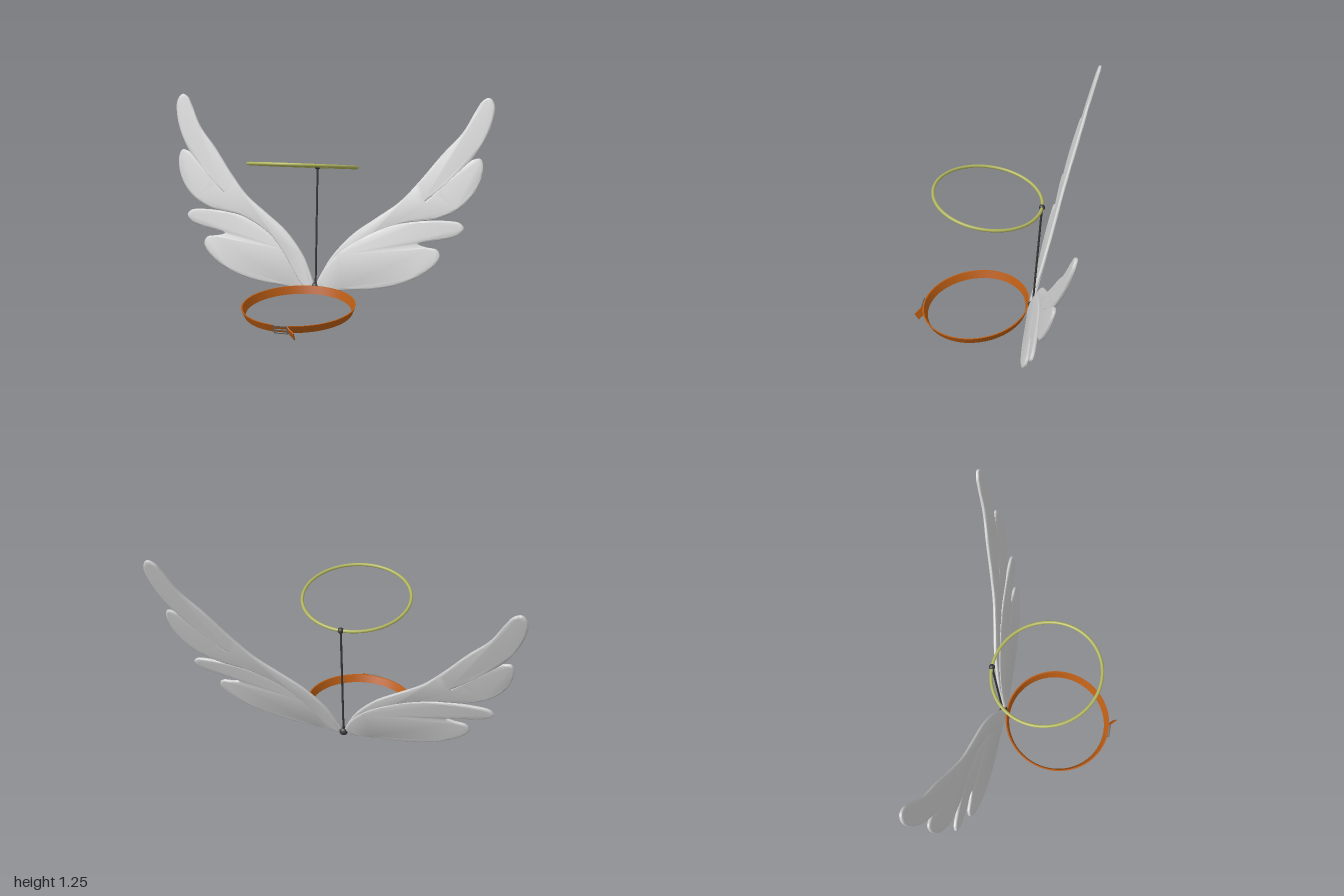
import * as THREE from 'three';
import { toCreasedNormals } from 'three/addons/utils/BufferGeometryUtils.js';

const mat = (color) => new THREE.MeshStandardMaterial({ color });

// Wing outlines as seen from the front (x, y), from root to root
const UPPER = [
  [0.01, 0.16], [0.08, 0.3], [0.205, 0.445], [0.34, 0.545], [0.47, 0.64], [0.58, 0.76], [0.71, 0.925],
  [0.82, 1.05], [0.89, 1.18], [0.925, 1.235], [0.965, 1.252], [0.997, 1.21], [0.98, 1.08], [0.9, 0.92],
  [0.77, 0.775], [0.68, 0.69], [0.62, 0.645], [0.69, 0.715], [0.82, 0.845], [0.89, 0.9], [0.935, 0.905],
  [0.952, 0.855], [0.925, 0.74], [0.84, 0.63], [0.71, 0.56], [0.62, 0.542], [0.5, 0.52], [0.31, 0.42],
  [0.205, 0.305], [0.125, 0.19], [0.07, 0.125], [0.01, 0.105],
];
const LOWER = [
  [0.01, 0.16], [0.05, 0.24], [0.15, 0.35], [0.3, 0.445], [0.45, 0.51], [0.6, 0.54], [0.75, 0.55],
  [0.84, 0.54], [0.863, 0.51], [0.83, 0.472], [0.75, 0.445], [0.66, 0.427], [0.605, 0.41], [0.65, 0.396],
  [0.715, 0.385], [0.735, 0.35], [0.71, 0.3], [0.62, 0.23], [0.5, 0.175], [0.35, 0.14], [0.2, 0.125],
  [0.01, 0.105],
];
const ROOT_Y = 0.105;
const LEAN = Math.atan(0.26);

// Thin feather plate with rounded edges, measured from the wing root
function featherPlate(outline, offset, name) {
  const pts = outline.map(([x, y]) => new THREE.Vector3(x, (y - ROOT_Y) / Math.cos(LEAN), 0));
  const curve = new THREE.CatmullRomCurve3(pts, false, 'centripetal');
  const shape = new THREE.Shape(curve.getPoints((pts.length - 1) * 5).map((p) => new THREE.Vector2(p.x, p.y)));
  const geo = new THREE.ExtrudeGeometry(shape, {
    depth: 0.002, bevelEnabled: true, bevelThickness: 0.009, bevelSize: 0.012, bevelOffset: -0.012, bevelSegments: 4,
  });
  geo.translate(0, 0, offset - 0.001);
  const mesh = new THREE.Mesh(toCreasedNormals(geo, 0.8), mat(0xcccccc));
  mesh.name = name;
  return mesh;
}

function createWing(name) {
  const wing = new THREE.Group();
  wing.name = name;
  wing.add(featherPlate(UPPER, -0.003, 'upperFeathers'), featherPlate(LOWER, 0.003, 'lowerFeathers'));
  return wing;
}

export function createModel() {
  const model = new THREE.Group();
  const add = (geo, color, name, x, y, z, parent = model) => {
    const mesh = new THREE.Mesh(geo, mat(color));
    mesh.name = name;
    mesh.position.set(x, y, z);
    parent.add(mesh);
    return mesh;
  };

  // Wings: the right one is the left one turned half round
  const wings = new THREE.Group();
  wings.name = 'wings';
  const rightWing = createWing('rightWing');
  rightWing.rotation.y = Math.PI;
  wings.add(createWing('leftWing'), rightWing);
  wings.position.set(0, ROOT_Y, -0.19);
  wings.rotation.x = -LEAN;
  model.add(wings);

  // Belt: thin flared band, lower at the front
  const belt = new THREE.Group();
  belt.name = 'belt';
  belt.position.set(0, 0.083, 0.135);
  belt.rotation.x = 0.105;
  model.add(belt);
  const profile = [[0.298, -0.022], [0.306, -0.022], [0.324, 0.022], [0.316, 0.022], [0.298, -0.022]]
    .map(([r, y]) => new THREE.Vector2(r, y));
  add(toCreasedNormals(new THREE.LatheGeometry(profile, 72), 0.6), 0xb85c14, 'beltBand', 0, 0, 0, belt);

  // Buckle: rectangular frame with a prong
  const buckle = new THREE.Group();
  buckle.name = 'buckle';
  buckle.position.set(0, 0, 0.32);
  buckle.rotation.x = 0.38;
  belt.add(buckle);
  for (const s of [-1, 1]) {
    add(new THREE.BoxGeometry(0.076, 0.007, 0.007), 0x777777, 'buckleBar', 0, s * 0.025, 0, buckle);
    add(new THREE.BoxGeometry(0.007, 0.057, 0.007), 0x777777, 'buckleSide', s * 0.036, 0, 0, buckle);
  }
  add(new THREE.BoxGeometry(0.07, 0.006, 0.006), 0x777777, 'buckleProng', 0, 0, 0.003, buckle);

  // Loose strap end sticking out beside the buckle
  const along = new THREE.Vector3(0.05, -0.025, 0.04).normalize();
  const across = new THREE.Vector3(0, 0.04, 0.025).normalize();
  const out = new THREE.Vector3().crossVectors(along, across).normalize();
  const tail = add(new THREE.BoxGeometry(0.07, 0.047, 0.006), 0xb85c14, 'strapEnd', 0.06, 0.039, 0.467);
  tail.quaternion.setFromRotationMatrix(new THREE.Matrix4().makeBasis(along, across, out));

  // Halo: ring tilted up at the front
  const halo = add(new THREE.TorusGeometry(0.305, 0.009, 12, 72), 0xb0b45c, 'halo', 0, 0.886, 0.058);
  halo.rotation.x = Math.PI / 2 - 0.131;

  // Rod with ball joints carrying the halo
  const low = new THREE.Vector3(0, 0.13, -0.207);
  const high = new THREE.Vector3(0, 0.846, -0.244);
  const rod = add(new THREE.CylinderGeometry(0.006, 0.006, low.distanceTo(high), 12), 0x3a3a3a, 'haloRod', 0, 0, 0);
  rod.position.copy(low).lerp(high, 0.5);
  rod.quaternion.setFromUnitVectors(new THREE.Vector3(0, 1, 0), high.clone().sub(low).normalize());
  add(new THREE.SphereGeometry(0.026, 24, 16), 0x3a3a3a, 'lowerBall', 0, 0.13, -0.202);
  add(new THREE.SphereGeometry(0.017, 24, 16), 0x3a3a3a, 'upperBall', 0, high.y, high.z);

  return model;
}
